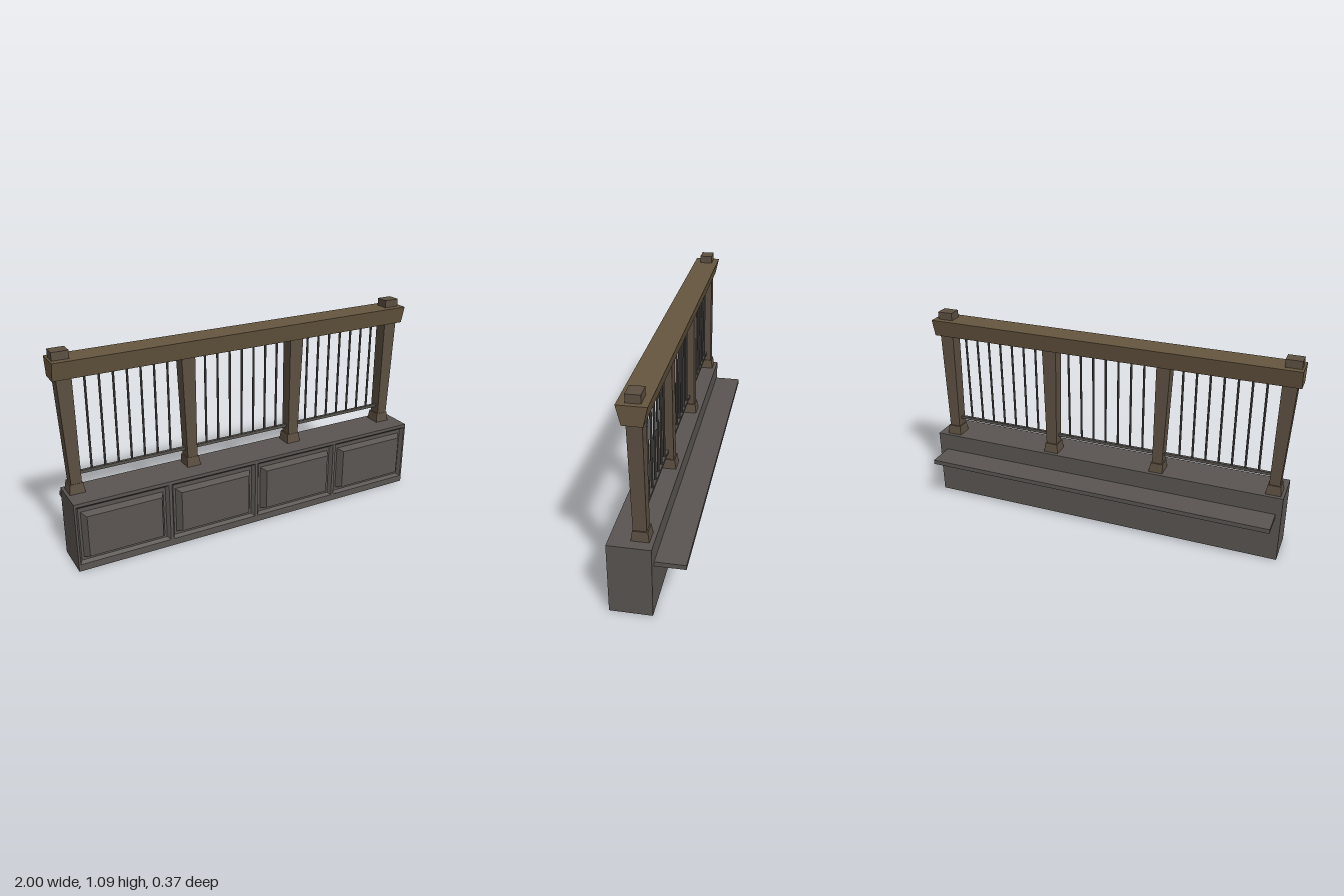
import * as THREE from 'three';

const material = (color) => new THREE.MeshStandardMaterial({ color, flatShading: true });

function add(parent, name, geometry, mat) {
  const mesh = new THREE.Mesh(geometry, mat);
  mesh.name = name;
  parent.add(mesh);
  return mesh;
}

// box from its limits
function block(x0, x1, y0, y1, z0, z1) {
  return new THREE.BoxGeometry(x1 - x0, y1 - y0, z1 - z0)
    .translate((x0 + x1) / 2, (y0 + y1) / 2, (z0 + z1) / 2);
}

// tapered box: rectangles [x0, x1, z0, z1] at heights y0 and y1
function taper(y0, low, y1, high) {
  const g = new THREE.BoxGeometry(1, 1, 1);
  const p = g.attributes.position;
  for (let i = 0; i < p.count; i++) {
    const r = p.getY(i) > 0 ? high : low;
    p.setXYZ(i, p.getX(i) > 0 ? r[1] : r[0], p.getY(i) > 0 ? y1 : y0, p.getZ(i) > 0 ? r[3] : r[2]);
  }
  g.computeVertexNormals();
  return g;
}

// four sloping sides running back from an outer rectangle to a smaller inner one
function slopedReveal(outer, inner, zFront, zBack) {
  const corners = ([x0, x1, y0, y1], z) => [[x0, y0, z], [x1, y0, z], [x1, y1, z], [x0, y1, z]];
  const a = corners(outer, zFront), b = corners(inner, zBack);
  const pos = [];
  for (let i = 0; i < 4; i++) {
    const j = (i + 1) % 4;
    for (const v of [a[i], a[j], b[j], a[i], b[j], b[i]]) pos.push(...v);
  }
  const g = new THREE.BufferGeometry();
  g.setAttribute('position', new THREE.Float32BufferAttribute(pos, 3));
  g.computeVertexNormals();
  return g;
}

function rectPath(path, x0, x1, y0, y1) {
  path.moveTo(x0, y0);
  path.lineTo(x1, y0);
  path.lineTo(x1, y1);
  path.lineTo(x0, y1);
  path.closePath();
  return path;
}

export function createModel() {
  const model = new THREE.Group();
  model.name = 'panelledBarrier';
  const stone = material(0x5a5551);
  const wood = material(0x66563f);
  const postWood = material(0x5c4f41);
  const metal = material(0x56524e);

  // panelled base
  const base = new THREE.Group();
  base.name = 'base';
  model.add(base);
  const back = 0.148, front = 0.168;
  add(base, 'baseBody', block(-0.98, 1, 0, 0.368, -0.037, back), stone);

  const face = rectPath(new THREE.Shape(), -0.98, 1, 0, 0.368);
  for (let i = 0; i < 4; i++) {
    const cx = -0.731 + i * 0.494;
    const opening = [cx - 0.239, cx + 0.239, 0.037, 0.35];
    const floor = [cx - 0.226, cx + 0.226, 0.048, 0.334];
    face.holes.push(rectPath(new THREE.Path(), ...opening));
    add(base, 'panelMoulding', slopedReveal(opening, floor, front, back), stone);
    // raised field with bevelled edges
    const field = taper(0, [-0.214, 0.214, -0.123, 0.123], 0.183 - back, [-0.193, 0.193, -0.11, 0.11]);
    field.rotateX(Math.PI / 2).translate(cx, 0.189, back);
    add(base, 'raisedPanel', field, stone);
  }
  const frame = new THREE.ExtrudeGeometry(face, { depth: front - back, bevelEnabled: false });
  add(base, 'panelFrame', frame.translate(0, 0, back), stone);

  // shelf on the back
  add(model, 'backShelf', block(-0.95, 0.955, 0.248, 0.272, -0.183, -0.036), stone);

  // posts: x limits of the flared foot, shaft bottom and shaft top
  const posts = [
    [-0.965, -0.885, -0.952, -0.898, -0.98, -0.906],
    [-0.342, -0.266, -0.335, -0.281, -0.358, -0.286],
    [0.260, 0.340, 0.271, 0.329, 0.262, 0.340],
    [0.869, 0.949, 0.880, 0.938, 0.874, 0.949],
  ];
  for (const [f0, f1, b0, b1, t0, t1] of posts) {
    const post = new THREE.Group();
    post.name = 'post';
    model.add(post);
    add(post, 'postFoot', taper(0.368, [f0, f1, -0.017, 0.068], 0.418, [b0 - 0.006, b1 + 0.006, -0.01, 0.061]), postWood);
    add(post, 'postShaft', taper(0.41, [b0, b1, -0.004, 0.059], 0.965, [t0, t1, 0, 0.07]), postWood);
  }

  // top beam, wider at the top, with a cap block near each end
  add(model, 'topBeam', taper(0.96, [-1, 0.977, -0.01, 0.082], 1.052, [-1, 0.977, -0.031, 0.104]), wood);
  for (const x of [-0.949, 0.912]) {
    add(model, 'capBlock', block(x - 0.041, x + 0.041, 1.04, 1.092, 0.001, 0.069), postWood);
  }

  // lower rail and seven upright bars in each bay
  const barZ = 0.03;
  const bars = new THREE.Group();
  bars.name = 'railing';
  model.add(bars);
  add(bars, 'lowerRail', block(-0.92, 0.9, 0.455, 0.471, barZ - 0.008, barZ + 0.008), metal);
  const barGeometry = new THREE.CylinderGeometry(0.006, 0.006, 0.5, 8);
  for (const start of [-0.835, -0.214, 0.394]) {
    for (let i = 0; i < 7; i++) {
      add(bars, 'railingBar', barGeometry, metal).position.set(start + i * 0.0695, 0.715, barZ);
    }
  }
  return model;
}
